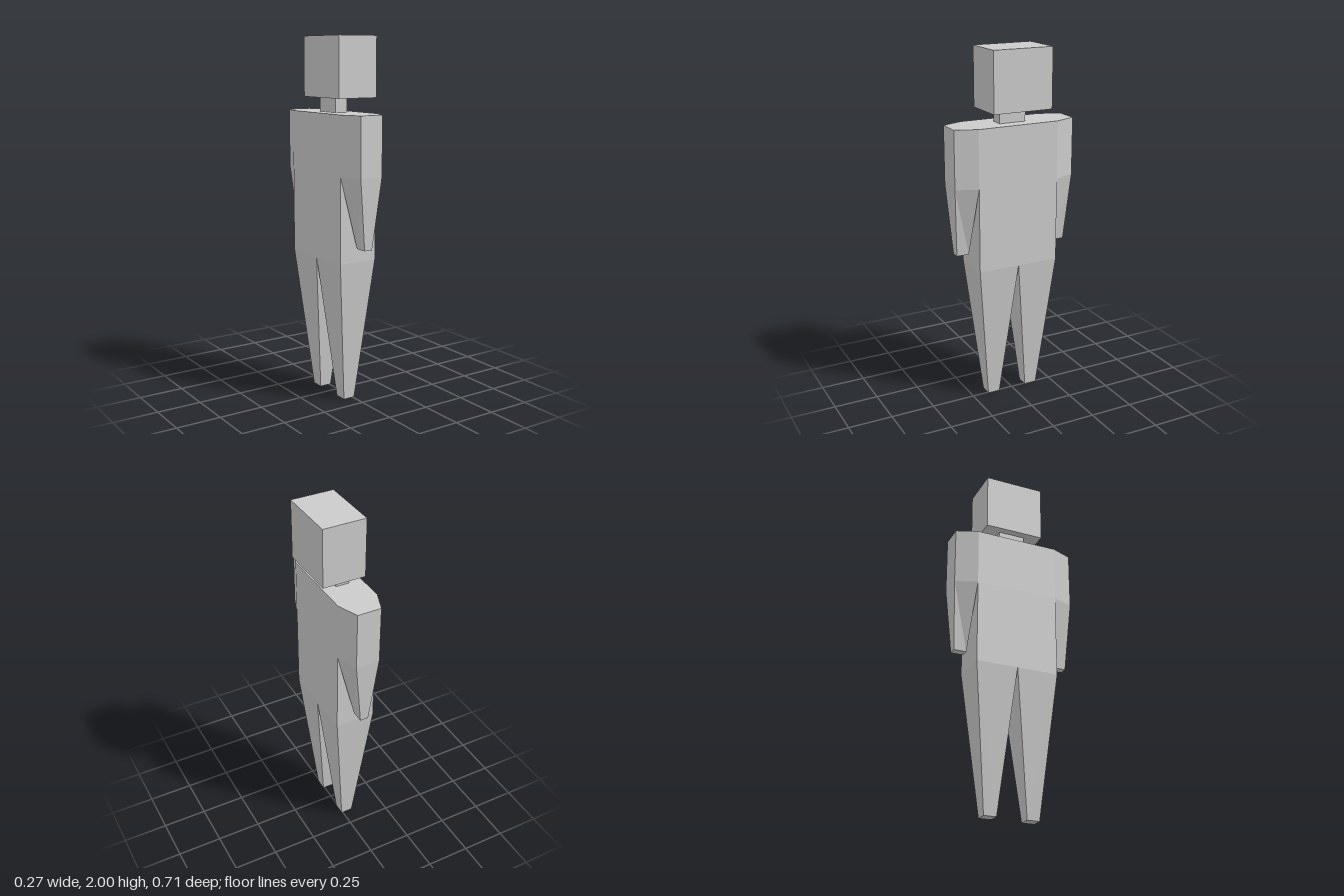
import * as THREE from 'three';

const material = new THREE.MeshStandardMaterial({ color: 0xcccccc, flatShading: true });

// Rectangle ring of [x, z] corners, counter-clockwise from above
const rect = (x0, x1, z0, z1) => [[x1, z1], [x1, z0], [x0, z0], [x0, z1]];

// Mirror a ring across z = 0, keeping its winding
const mirror = (ring) => ring.map(([x, z]) => [x, -z]).reverse();

// Faceted solid between a lower and an upper ring, with optional end caps
function loft(name, y0, lower, y1, upper, capBottom, capTop) {
  const a = lower.map(([x, z]) => new THREE.Vector3(x, y0, z));
  const b = upper.map(([x, z]) => new THREE.Vector3(x, y1, z));
  const n = a.length;
  const points = [];
  for (let i = 0; i < n; i++) {
    const j = (i + 1) % n;
    // twisted quads are split along their shorter diagonal
    if (a[i].distanceTo(b[j]) < a[j].distanceTo(b[i])) points.push(a[i], a[j], b[j], a[i], b[j], b[i]);
    else points.push(a[i], a[j], b[i], a[j], b[j], b[i]);
  }
  for (let i = 1; i < n - 1; i++) {
    if (capBottom) points.push(a[0], a[i + 1], a[i]);
    if (capTop) points.push(b[0], b[i], b[i + 1]);
  }
  const geometry = new THREE.BufferGeometry().setFromPoints(points);
  geometry.computeVertexNormals();
  const mesh = new THREE.Mesh(geometry, material);
  mesh.name = name;
  return mesh;
}

function box(name, x0, x1, y0, y1, halfDepth) {
  const mesh = new THREE.Mesh(new THREE.BoxGeometry(x1 - x0, y1 - y0, 2 * halfDepth), material);
  mesh.position.set((x0 + x1) / 2, (y0 + y1) / 2, 0);
  mesh.name = name;
  return mesh;
}

export function createModel() {
  const model = new THREE.Group();
  model.name = 'figure';

  const back = -0.139, chest = 0.087, side = 0.237;
  const hipY = 0.8, elbowY = 1.27, shoulderY = 1.593;

  // Head and neck
  model.add(box('head', -0.106, 0.136, 1.672, 2, 0.172));
  model.add(box('neck', -0.063, 0.012, shoulderY - 0.005, 1.68, 0.077));

  // Chest with the tapered upper arms in one eight-sided block
  const armBack = -0.093, armFront = 0.042, armSide = 0.357;
  const shoulders = [
    [armFront, armSide], [chest, side], [chest, -side], [armFront, -armSide],
    [armBack, -armSide], [back, -side], [back, side], [armBack, armSide],
  ];
  model.add(loft('chestAndUpperArms', elbowY, shoulders, shoulderY, shoulders, false, true));

  // Waist
  const waist = rect(back, chest, -side, side);
  model.add(loft('waist', hipY, waist, elbowY, waist, false, false));

  // Forearms and legs, mirrored across z
  const elbow = [[armFront, armSide], [chest, side], [back, side], [armBack, armSide]];
  const hand = rect(-0.05, -0.003, 0.263, 0.334);
  const hip = rect(back, chest, 0, side);
  const foot = rect(-0.06, 0.008, 0.085, 0.156);
  for (const [prefix, place] of [['near', (r) => r], ['far', mirror]]) {
    model.add(loft(prefix + 'Forearm', 0.88, place(hand), elbowY, place(elbow), true, false));
    model.add(loft(prefix + 'Leg', 0, place(foot), hipY, place(hip), true, false));
  }
  return model;
}
